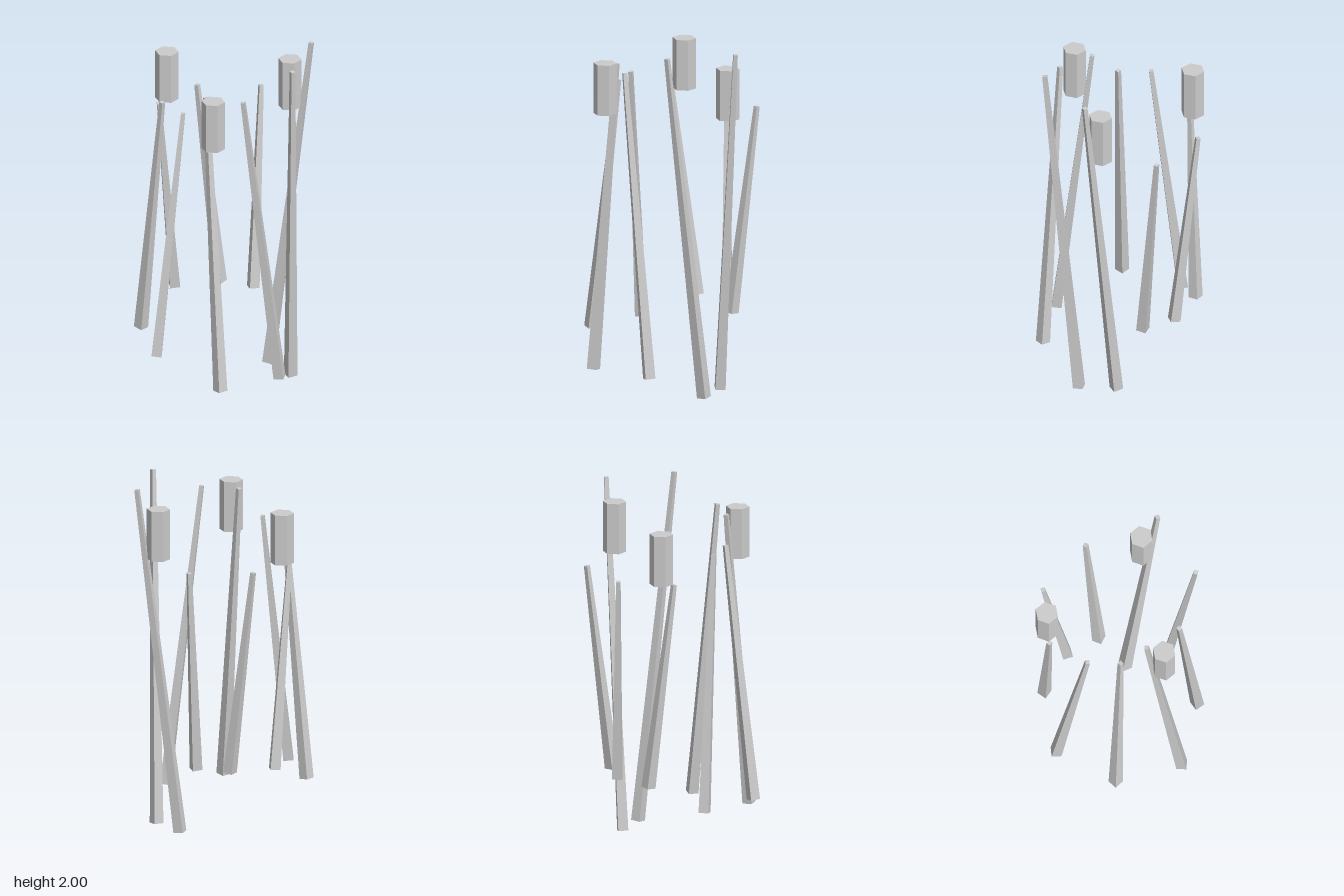
import * as THREE from 'three';

const TILT = 0.12;
const CENTRE = new THREE.Vector3(-0.012, 0, -0.027);
const RING = 0.401;

export function createModel() {
  const model = new THREE.Group();
  const mat = new THREE.MeshStandardMaterial({ color: 0xcccccc, flatShading: true });
  const up = new THREE.Vector3(0, 1, 0);

  // Nine tapered square poles in a ring, growing longer around it
  const lengths = [1.195, 1.195, 1.195, 1.465, 1.465, 1.737, 1.737, 2.007, 2.007];
  lengths.forEach((length, i) => {
    const angle = THREE.MathUtils.degToRad(259.5 - 40 * i);
    const x = CENTRE.x + RING * Math.cos(angle);
    const z = CENTRE.z + RING * Math.sin(angle);

    // Each pole is rolled to its ring angle, then leans in a direction turning twice as fast
    const lean = 2 * angle + Math.PI / 2;
    const axis = new THREE.Vector3(
      Math.sin(TILT) * Math.cos(lean), Math.cos(TILT), Math.sin(TILT) * Math.sin(lean));
    const pole = new THREE.Mesh(new THREE.CylinderGeometry(0.017, 0.04, length, 4), mat);
    pole.name = `pole${i + 1}`;
    pole.position.set(x, 1.0015, z);
    pole.quaternion.setFromUnitVectors(up, axis)
      .multiply(new THREE.Quaternion().setFromAxisAngle(up, -angle));
    model.add(pole);

    // Hexagonal lantern above every third pole
    if (i % 3 === 2) {
      const lantern = new THREE.Mesh(new THREE.CylinderGeometry(0.066, 0.066, 0.291, 6), mat);
      lantern.name = `lantern${(i + 1) / 3}`;
      lantern.position.set(x, 1.742, z);
      model.add(lantern);
    }
  });
  return model;
}
